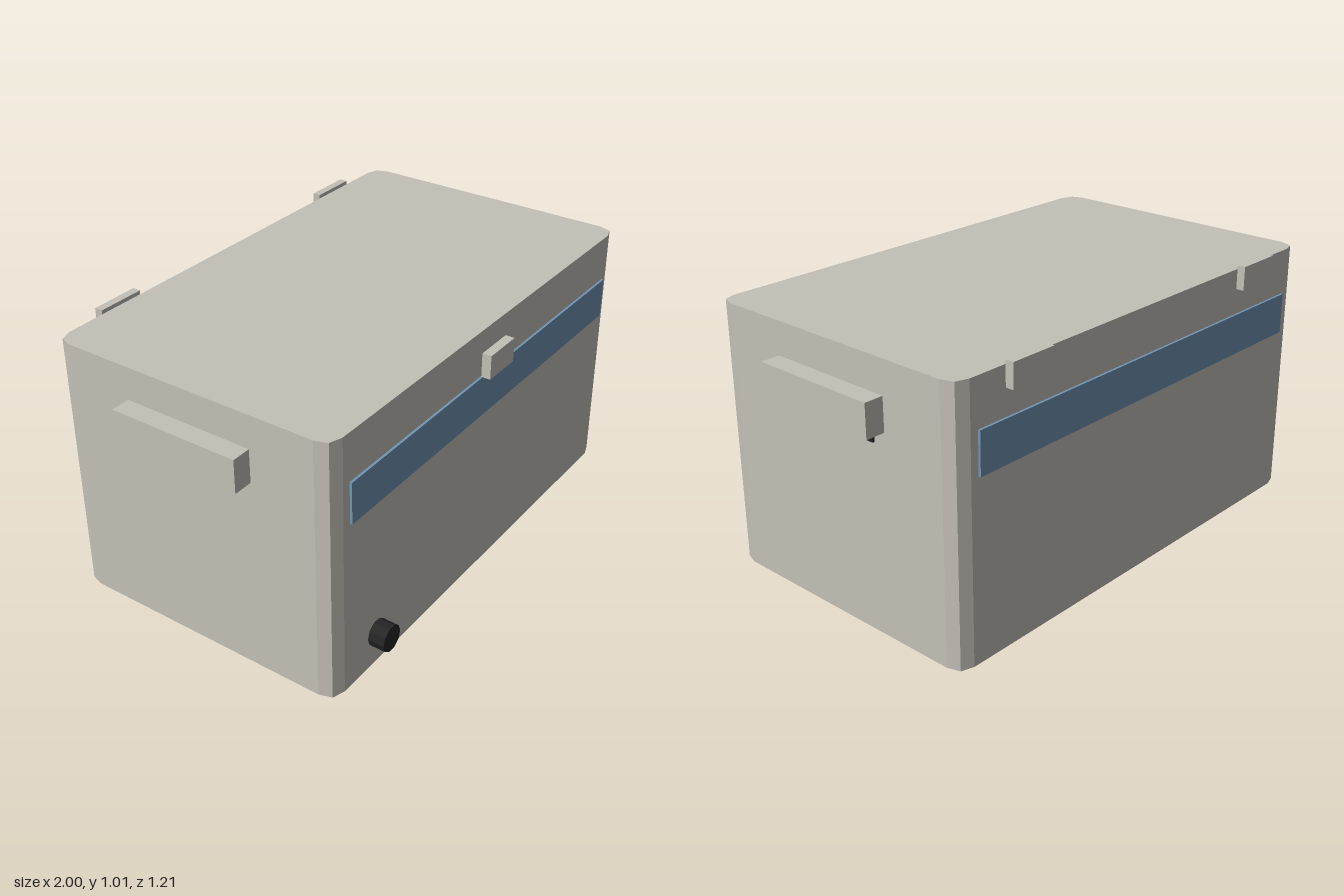
import * as THREE from 'three';

const mat = (name, color) => {
  const m = new THREE.MeshStandardMaterial({ color });
  m.name = name;
  return m;
};

export function createModel() {
  const group = new THREE.Group();
  const shell = mat('warm grey', 0xc4c0b7);
  const blue = mat('stripe blue', 0x7095b4);
  const black = mat('black plastic', 0x252525);

  const add = (name, geometry, material) => {
    const mesh = new THREE.Mesh(geometry, material);
    mesh.name = name;
    group.add(mesh);
    return mesh;
  };
  // Box given by its lower and upper corners
  const box = (name, material, [x0, y0, z0], [x1, y1, z1]) =>
    add(name, new THREE.BoxGeometry(x1 - x0, y1 - y0, z1 - z0), material)
      .position.set((x0 + x1) / 2, (y0 + y1) / 2, (z0 + z1) / 2);

  // Chest body: rounded rectangle with two-facet corners, extruded upwards
  const W = 0.927, F = 0.545, B = -0.573, R = 0.062, H = 0.996;
  const s = new THREE.Shape();
  s.moveTo(-W + R, -F);
  s.lineTo(W - R, -F);
  s.quadraticCurveTo(W, -F, W, -F + R);
  s.lineTo(W, -B - R);
  s.quadraticCurveTo(W, -B, W - R, -B);
  s.lineTo(-W + R, -B);
  s.quadraticCurveTo(-W, -B, -W, -B - R);
  s.lineTo(-W, -F + R);
  s.quadraticCurveTo(-W, -F, -W + R, -F);
  const body = new THREE.ExtrudeGeometry(s, { depth: H, bevelEnabled: false, curveSegments: 2 });
  body.rotateX(-Math.PI / 2);
  add('body', body, shell);

  // Painted stripes, front and back
  box('frontStripe', blue, [-0.837, 0.67, 0.549], [0.837, 0.825, 0.558]);
  box('backStripe', blue, [-0.837, 0.67, -0.586], [0.837, 0.825, -0.577]);

  // Front latch
  box('latch', shell, [-0.078, 0.826, 0.553], [0.078, 0.917, 0.588]);

  // Side handles with dark grips, and rear hinges
  for (const [side, d] of [['left', 1], ['right', -1]]) {
    const mirrored = (name, m, x0, x1, y0, y1, z0, z1) =>
      box(side + name, m, [Math.min(x0 * d, x1 * d), y0, z0], [Math.max(x0 * d, x1 * d), y1, z1]);
    mirrored('Handle', shell, 0.925, 1.0, 0.748, 0.872, -0.262, 0.238);
    mirrored('Grip', black, 0.92, 0.935, 0.702, 0.8, -0.215, 0.19);
    mirrored('Hinge', shell, 0.525, 0.712, 0.92, 1.01, -0.605, -0.574);
  }

  // Ten-sided drain plug
  const plug = new THREE.CylinderGeometry(0.05, 0.05, 0.062, 10).toNonIndexed();
  plug.rotateY(Math.PI / 2).rotateX(Math.PI / 2);
  plug.computeVertexNormals();
  add('drainPlug', plug, black).position.set(-0.683, 0.128, 0.576);

  return group;
}
